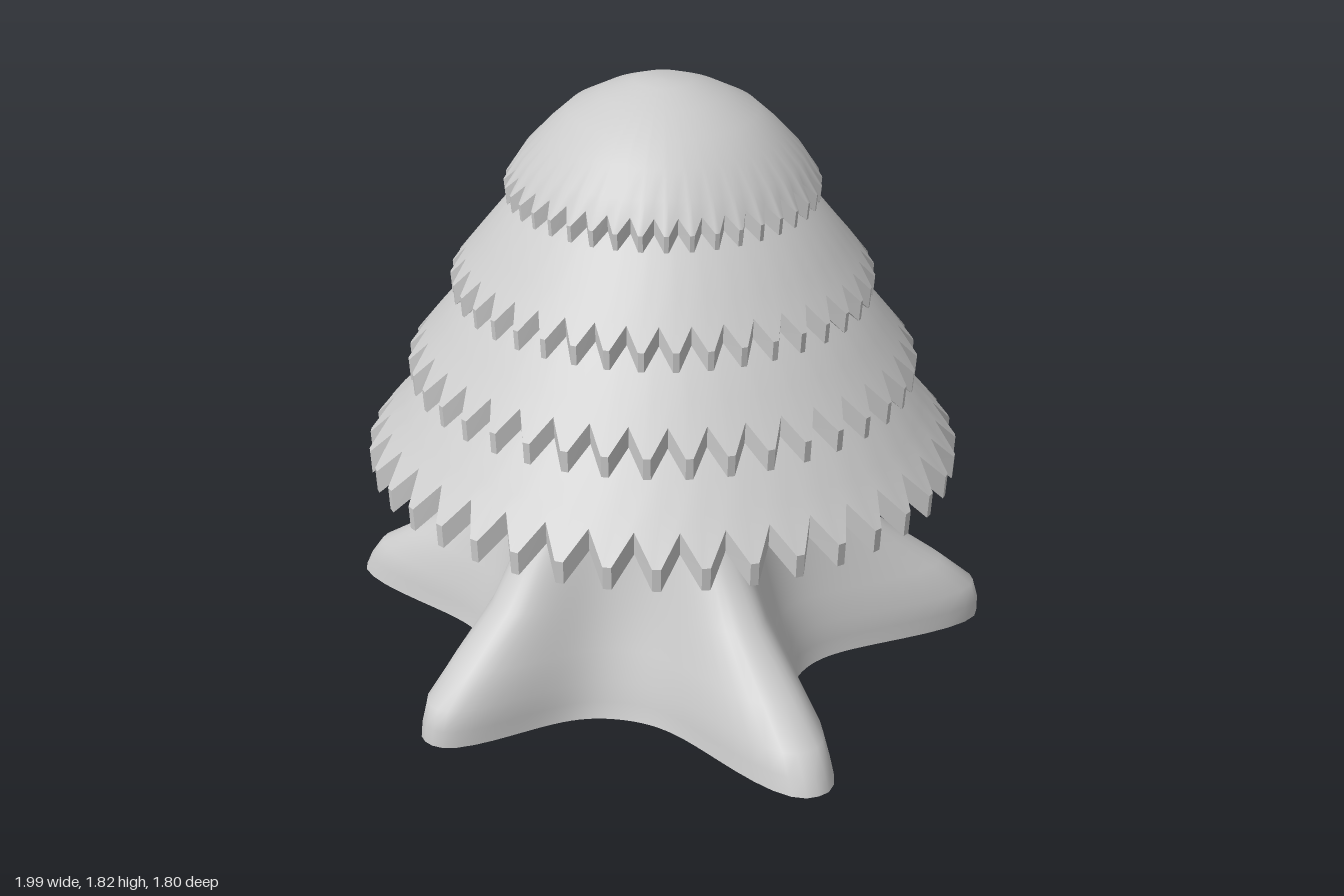
import * as THREE from 'three';

const material = new THREE.MeshStandardMaterial({ color: 0xcccccc, side: THREE.DoubleSide });
const flatMaterial = new THREE.MeshStandardMaterial({ color: 0xcccccc, side: THREE.DoubleSide, flatShading: true });

// Closed-loop loft: point(ring, segment) returns [x, y, z]; rings run bottom to top
function loft(rings, segments, point) {
  const positions = [], index = [];
  for (let i = 0; i < rings; i++) {
    for (let j = 0; j < segments; j++) positions.push(...point(i, j));
  }
  for (let i = 0; i < rings - 1; i++) {
    for (let j = 0; j < segments; j++) {
      const k = (j + 1) % segments;
      const a = i * segments + j, b = i * segments + k;
      index.push(a, a + segments, b, b, a + segments, b + segments);
    }
  }
  const geometry = new THREE.BufferGeometry();
  geometry.setAttribute('position', new THREE.Float32BufferAttribute(positions, 3));
  geometry.setIndex(index);
  geometry.computeVertexNormals();
  return geometry;
}

function addMesh(parent, name, geometry, mat = material) {
  const mesh = new THREE.Mesh(geometry, mat);
  mesh.name = name;
  parent.add(mesh);
}

// Trunk levels: height, root ridge radius, valley radius, lobe width in degrees
const TRUNK = [
  [0.00, 0.99, 0.43, 12.5], [0.05, 0.97, 0.415, 12.5], [0.11, 0.93, 0.40, 13],
  [0.20, 0.80, 0.375, 13.5], [0.33, 0.61, 0.345, 15], [0.45, 0.51, 0.325, 16],
  [0.57, 0.425, 0.305, 17], [0.66, 0.385, 0.29, 18], [0.80, 0.355, 0.27, 19],
  [1.08, 0.33, 0.25, 20],
];
// Roots: direction in degrees from +x toward +z, reach at the ground, mid-height bulge
const ROOTS = [[16, 1.03, 0], [89, 0.89, 0.02], [163.5, 1.03, 0], [231, 0.94, 0.05], [303, 1.04, 0.11]];

function trunkGeometry() {
  const segments = 180;
  return loft(TRUNK.length, segments, (i, j) => {
    const [y, ridge, valley, width] = TRUNK[i];
    const degrees = j * 360 / segments;
    const fade = Math.max(0, 1 - y / 0.6);
    const mid = Math.sin(Math.PI * Math.min(1, y / 0.7));
    let r = valley;
    for (const [direction, reach, bulge] of ROOTS) {
      const d = Math.abs((degrees - direction + 540) % 360 - 180);
      const peak = ridge * (1 + (reach - 1) * fade) + bulge * mid;
      r += (peak - valley) / (1 + Math.pow(d / width, 2.5));
    }
    const t = THREE.MathUtils.degToRad(degrees);
    return [r * Math.cos(t), y, r * Math.sin(t)];
  });
}

// Leaf tiers: tip radius and height, tooth cut-in and rise, band thickness,
// then the upper surface and the underside as [radius, height]
const TIERS = [
  { r: 0.875, y: 0.70, cut: 0.065, rise: 0.08, thick: 0.07,
    top: [[0.77, 0.82], [0.70, 0.91], [0.60, 1.01]],
    under: [[0.2, 1.12], [0.38, 1.07], [0.54, 0.96], [0.67, 0.83]] },
  { r: 0.75, y: 0.975, cut: 0.055, rise: 0.07, thick: 0.065,
    top: [[0.65, 1.10], [0.57, 1.20], [0.47, 1.29]], under: [[0.58, 1.04]] },
  { r: 0.62, y: 1.235, cut: 0.045, rise: 0.06, thick: 0.06,
    top: [[0.53, 1.35], [0.45, 1.45], [0.34, 1.55]], under: [[0.45, 1.29]] },
  { r: 0.46, y: 1.515, cut: 0.035, rise: 0.04, thick: 0.05,
    top: [[0.405, 1.60], [0.34, 1.67], [0.275, 1.73], [0.18, 1.78], [0.085, 1.815], [0.001, 1.817]],
    under: [[0.33, 1.55]] },
];
const TEETH = 40;
const TOOTH_STEPS = [-0.09, 0.09, 0.5]; // blunt tip, then notch

function addTier(parent, tier, number) {
  // Ring point; tooth 1 gives the full zigzag, 0 a plain circle
  const ring = (r, y, tooth, j) => {
    const notch = j % 3 === 2 ? tooth : 0;
    const t = (Math.floor(j / 3) + TOOTH_STEPS[j % 3] + number * 0.25) / TEETH * Math.PI * 2;
    const radius = r - notch * tier.cut;
    return [radius * Math.cos(t), y + notch * tier.rise, radius * Math.sin(t)];
  };
  const shell = (profile) => loft(profile.length, TEETH * 3, (i, j) => ring(...profile[i], j));
  const plain = (points) => points.map(([r, y]) => [r, y, 0]);
  const upper = [tier.r, tier.y, 1];
  const lower = [tier.r - 0.005, tier.y - tier.thick, 1];

  const group = new THREE.Group();
  group.name = `leafTier${number + 1}`;
  addMesh(group, 'leafSurface', shell([upper, ...plain(tier.top)]));
  addMesh(group, 'toothedRim', shell([lower, upper]).toNonIndexed(), flatMaterial);
  addMesh(group, 'leafUnderside', shell([...plain(tier.under), lower]));
  parent.add(group);
}

export function createModel() {
  const model = new THREE.Group();
  model.name = 'tree';
  // Hollow trunk with five spreading roots
  addMesh(model, 'trunk', trunkGeometry());
  // Stacked canopy, slightly off the trunk axis
  const canopy = new THREE.Group();
  canopy.name = 'canopy';
  canopy.position.set(0.03, 0, -0.03);
  TIERS.forEach((tier, i) => addTier(canopy, tier, i));
  model.add(canopy);
  return model;
}
